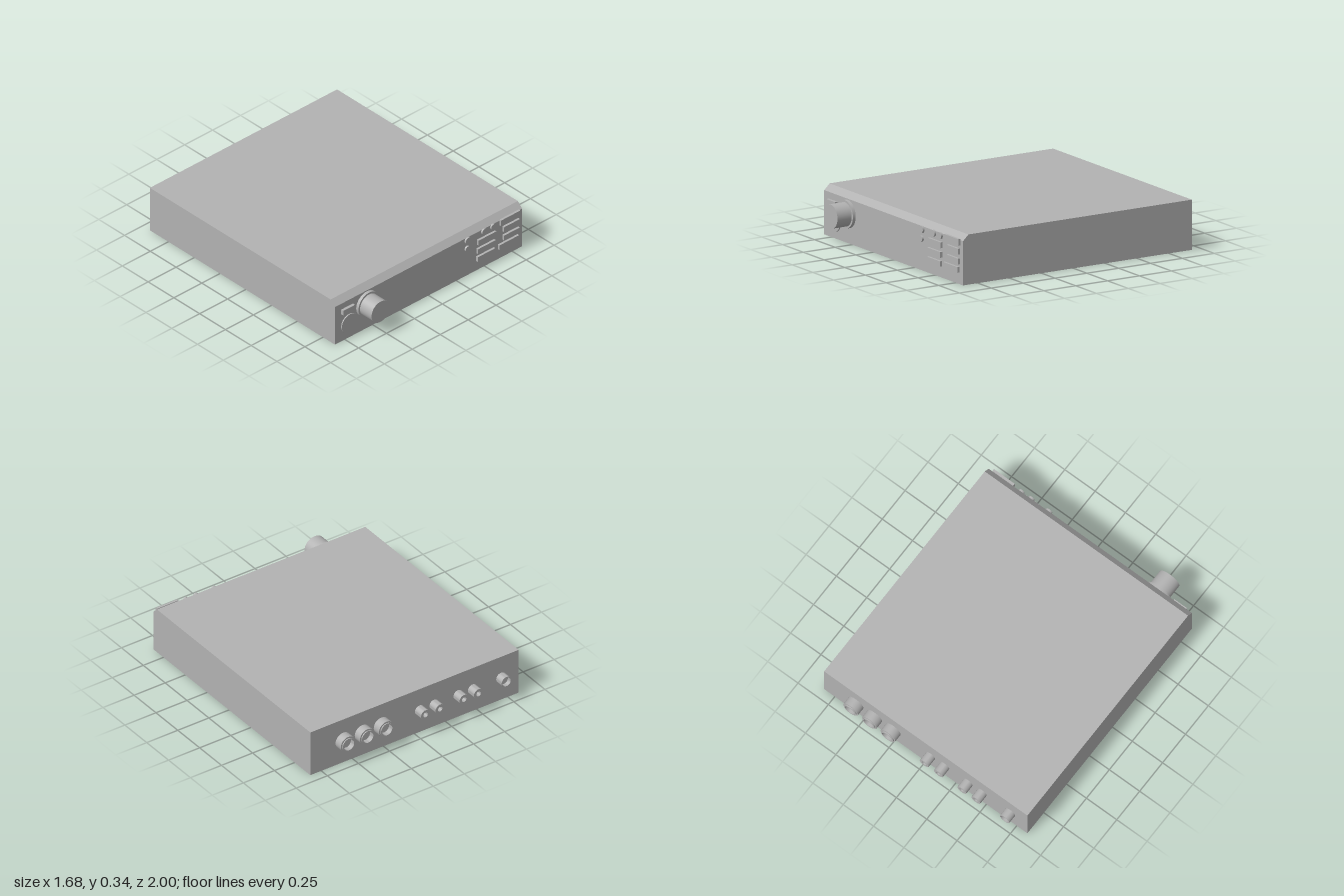
import * as THREE from 'three';
import { toCreasedNormals } from 'three/addons/utils/BufferGeometryUtils.js';

const FRONT = 0.866, BACK = -0.93, HALF = 0.838, JACK_Y = 0.174;

export function createModel() {
  const model = new THREE.Group();
  model.name = 'stereoUnit';
  const grey = new THREE.MeshStandardMaterial({ color: 0xb2b2b2 });
  grey.name = 'plain grey';

  const add = (name, geometry, x = 0, y = 0, z = 0) => {
    const mesh = new THREE.Mesh(geometry, grey);
    mesh.name = name;
    mesh.position.set(x, y, z);
    model.add(mesh);
  };

  // Round part standing out of the front panel
  const frontDisc = (name, x, y, r, depth) => {
    const g = new THREE.CylinderGeometry(r, r, depth, 40).rotateX(Math.PI / 2);
    add(name, g, x, y, FRONT + depth / 2);
  };

  // Rectangular key on the front panel, given by its edges
  const frontKey = (name, x0, x1, y0, y1, depth) =>
    add(name, new THREE.BoxGeometry(x1 - x0, y1 - y0, depth), (x0 + x1) / 2, (y0 + y1) / 2, FRONT + depth / 2);

  // Turned socket pointing backwards; profile is [radius, distance from panel]
  const socket = (name, x, profile) => {
    const points = profile.map(([r, d]) => new THREE.Vector2(r, d));
    const g = toCreasedNormals(new THREE.LatheGeometry(points, 32), 0.6).rotateX(-Math.PI / 2);
    add(name, g, x, JACK_Y, BACK);
  };

  // Case: side outline with the chamfered front top edge
  const side = new THREE.Shape();
  side.moveTo(BACK, 0);
  side.lineTo(FRONT, 0);
  side.lineTo(FRONT, 0.3);
  side.lineTo(0.824, 0.34);
  side.lineTo(BACK, 0.34);
  side.closePath();
  const caseGeometry = new THREE.ExtrudeGeometry(side, { depth: HALF * 2, bevelEnabled: false });
  add('case', caseGeometry.rotateY(-Math.PI / 2).translate(HALF, 0, 0));

  // Volume knob, its collar, the round dial and the power key
  frontDisc('knobCollar', -0.553, 0.198, 0.095, 0.022);
  frontDisc('volumeKnob', -0.553, 0.198, 0.081, 1 - FRONT);
  frontDisc('dial', -0.711, 0.115, 0.072, 0.008);
  frontKey('powerKey', -0.783, -0.677, 0.218, 0.254, 0.021);

  // Small round buttons
  for (const [x, y, r] of [[0.347, 0.279, 0.025], [0.343, 0.216, 0.021], [0.491, 0.284, 0.022], [0.572, 0.284, 0.022]])
    frontDisc('roundButton', x, y, r, 0.013);

  // Selector keys in two columns
  for (const [x0, x1, y0, y1] of [
    [0.433, 0.592, 0.203, 0.243], [0.428, 0.587, 0.137, 0.176], [0.426, 0.583, 0.076, 0.113],
    [0.635, 0.807, 0.264, 0.309], [0.661, 0.803, 0.203, 0.243], [0.661, 0.803, 0.137, 0.176],
    [0.621, 0.796, 0.079, 0.117],
  ]) frontKey('selectorKey', x0, x1, y0, y1, 0.017);

  // Three large sockets with a raised inner rim
  for (const x of [0.267, 0.42, 0.574])
    socket('largeSocket', x, [[0.061, 0], [0.061, 0.06], [0.05, 0.06], [0.05, 0.068], [0.041, 0.068], [0.041, 0.03], [0, 0.03]]);

  // Two pairs of small jacks
  for (const x of [-0.466, -0.35, -0.157, -0.04])
    socket('smallJack', x, [[0.037, 0], [0.037, 0.07], [0.018, 0.07], [0.018, 0.03], [0, 0.03]]);

  // Single aerial connector
  socket('aerialConnector', -0.697, [[0.04, 0], [0.04, 0.062], [0.033, 0.062], [0.033, 0.03], [0, 0.03]]);

  return model;
}
